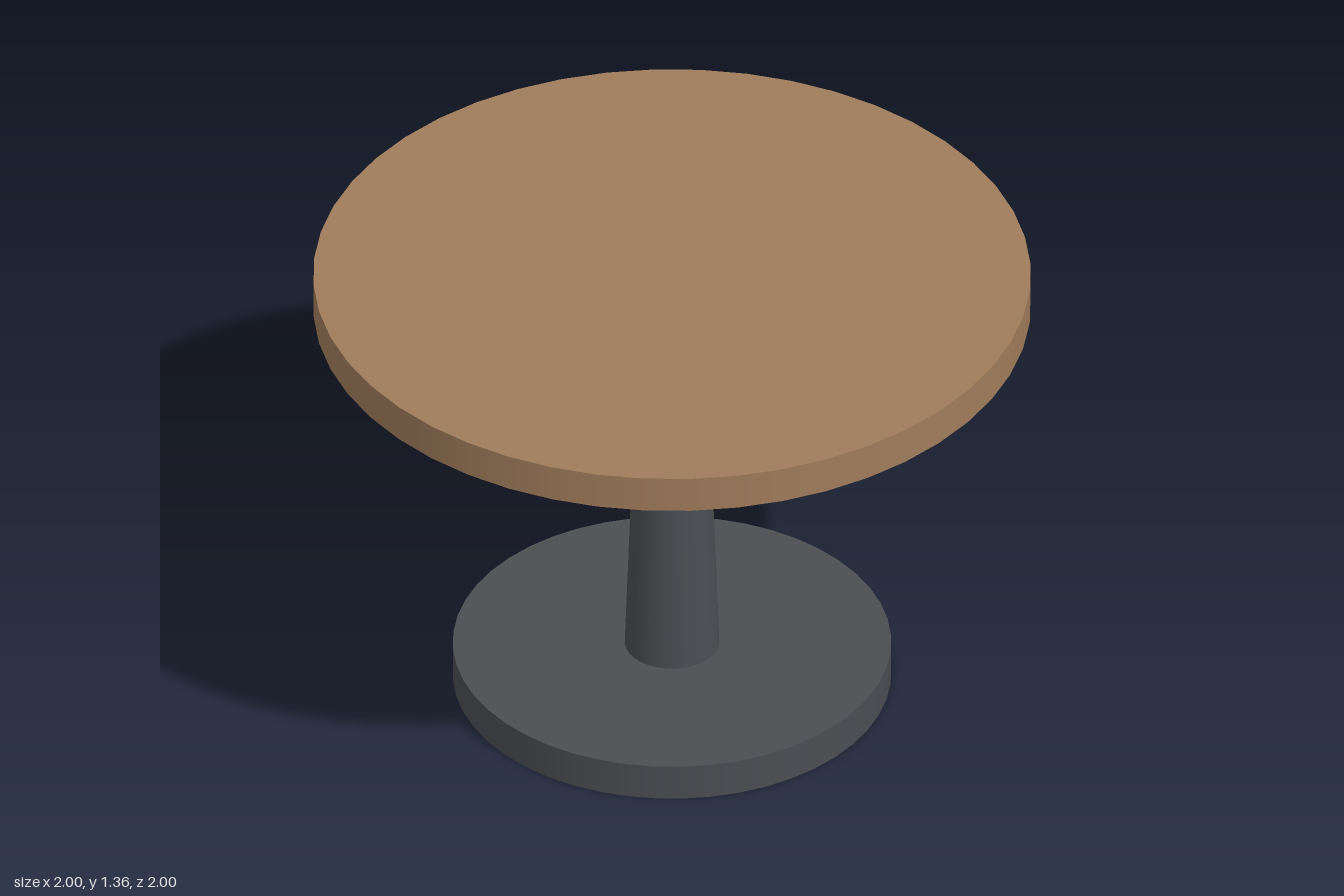
import * as THREE from 'three';

export function createModel() {
  const table = new THREE.Group();
  table.name = 'roundPedestalTable';

  const wood = new THREE.MeshStandardMaterial({ color: 0xa07c5b });
  wood.name = 'wood';
  const metal = new THREE.MeshStandardMaterial({ color: 0x4a4e52 });
  metal.name = 'darkMetal';

  // Upright round part between two heights
  function disc(name, material, topRadius, bottomRadius, y0, y1, sides) {
    const geometry = new THREE.CylinderGeometry(topRadius, bottomRadius, y1 - y0, sides);
    const mesh = new THREE.Mesh(geometry, material);
    mesh.name = name;
    mesh.position.y = (y0 + y1) / 2;
    table.add(mesh);
  }

  disc('base', metal, 0.611, 0.611, 0, 0.108, 48);
  disc('column', metal, 0.094, 0.132, 0.108, 1.184, 32);
  disc('mountingPlate', metal, 0.352, 0.352, 1.184, 1.247, 48);
  disc('tableTop', wood, 1, 1, 1.247, 1.355, 48);

  return table;
}
